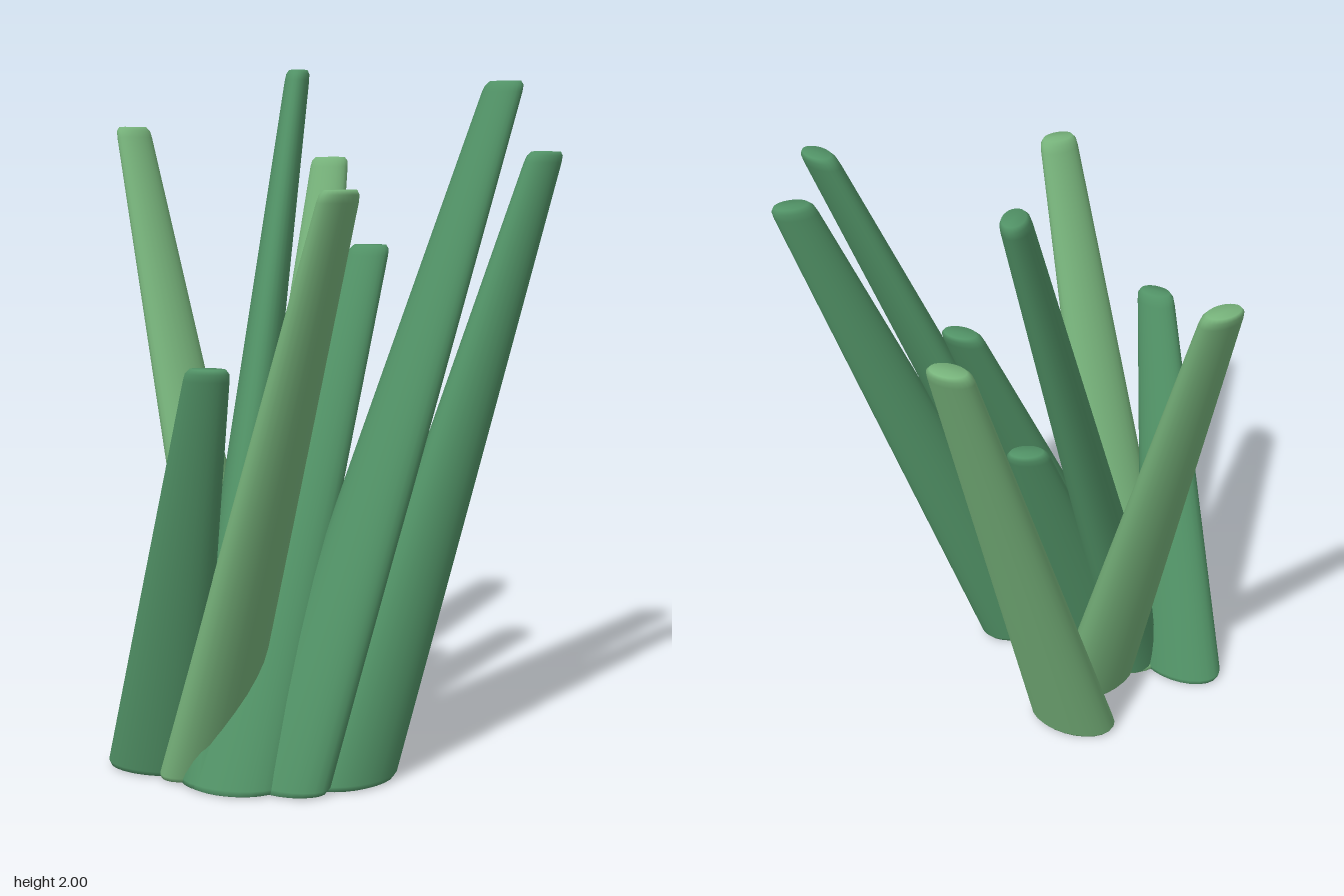
import * as THREE from 'three';
import { mergeVertices } from 'three/addons/utils/BufferGeometryUtils.js';

const LIGHT = 0x77b37b, DARK = 0x519266;

// Each blade: foot [x, z], tip [x, y, z], turn of the wide axis in degrees, colour
const BLADES = [
  { name: 'rearBlade', foot: [-0.14, 0.02], tip: [-0.04, 1.83, -0.65], turn: 0, color: LIGHT },
  { name: 'rearLeftBlade', foot: [0.01, -0.09], tip: [0.57, 1.74, -0.395], turn: 55, color: LIGHT },
  { name: 'frontBlade', foot: [-0.34, 0.03], tip: [-0.4, 1.65, 0.645], turn: 2, color: LIGHT },
  { name: 'tallestBlade', foot: [-0.35, 0.07], tip: [0.3, 2.0, -0.258], turn: -45, color: DARK },
  { name: 'middleBlade', foot: [-0.36, 0.19], tip: [0.272, 1.48, 0.085], turn: 57, color: DARK },
  { name: 'shortBlade', foot: [-0.26, 0.1], tip: [0.15, 1.11, -0.05], turn: 28, color: DARK },
  { name: 'tallLeftBlade', foot: [-0.255, 0.28], tip: [0.505, 1.95, 0.394], turn: 75, color: DARK },
  { name: 'frontLeftBlade', foot: [-0.085, 0.375], tip: [0.542, 1.75, 0.518], turn: 12, color: DARK },
  { name: 'rightBlade', foot: [-0.42, -0.085], tip: [-0.57, 1.2, 0.343], turn: 60, color: DARK },
];

const WIDE = 0.14, THIN = 0.085, TAPER = 0.44;

// Tapered oval stalk with rounded rims, sheared so both ends stay level
function bladeGeometry({ foot, tip, turn }) {
  const h = tip[1];
  const profile = [
    [0, 0], [0.85, 0], [0.95, 0.004], [1, 0.018],
    [0.75, h * 0.45], [TAPER, h - 0.032], [TAPER * 0.95, h - 0.012], [TAPER * 0.78, h], [0, h],
  ].map(([r, y]) => new THREE.Vector2(r, y));
  const lathe = new THREE.LatheGeometry(profile, 24);
  const c = Math.cos(turn * Math.PI / 180), s = Math.sin(turn * Math.PI / 180);
  const pos = lathe.attributes.position;
  for (let i = 0; i < pos.count; i++) {
    const u = pos.getX(i) * WIDE, y = pos.getY(i), v = pos.getZ(i) * THIN, t = y / h;
    pos.setXYZ(i,
      u * c - v * s + THREE.MathUtils.lerp(foot[0], tip[0], t), y,
      u * s + v * c + THREE.MathUtils.lerp(foot[1], tip[2], t));
  }
  lathe.deleteAttribute('uv');
  lathe.deleteAttribute('normal');
  const geometry = mergeVertices(lathe, 1e-5);
  geometry.computeVertexNormals();
  return geometry;
}

export function createModel() {
  const group = new THREE.Group();
  group.name = 'grassTuft';
  for (const blade of BLADES) {
    const mesh = new THREE.Mesh(bladeGeometry(blade), new THREE.MeshStandardMaterial({ color: blade.color }));
    mesh.name = blade.name;
    group.add(mesh);
  }
  return group;
}
